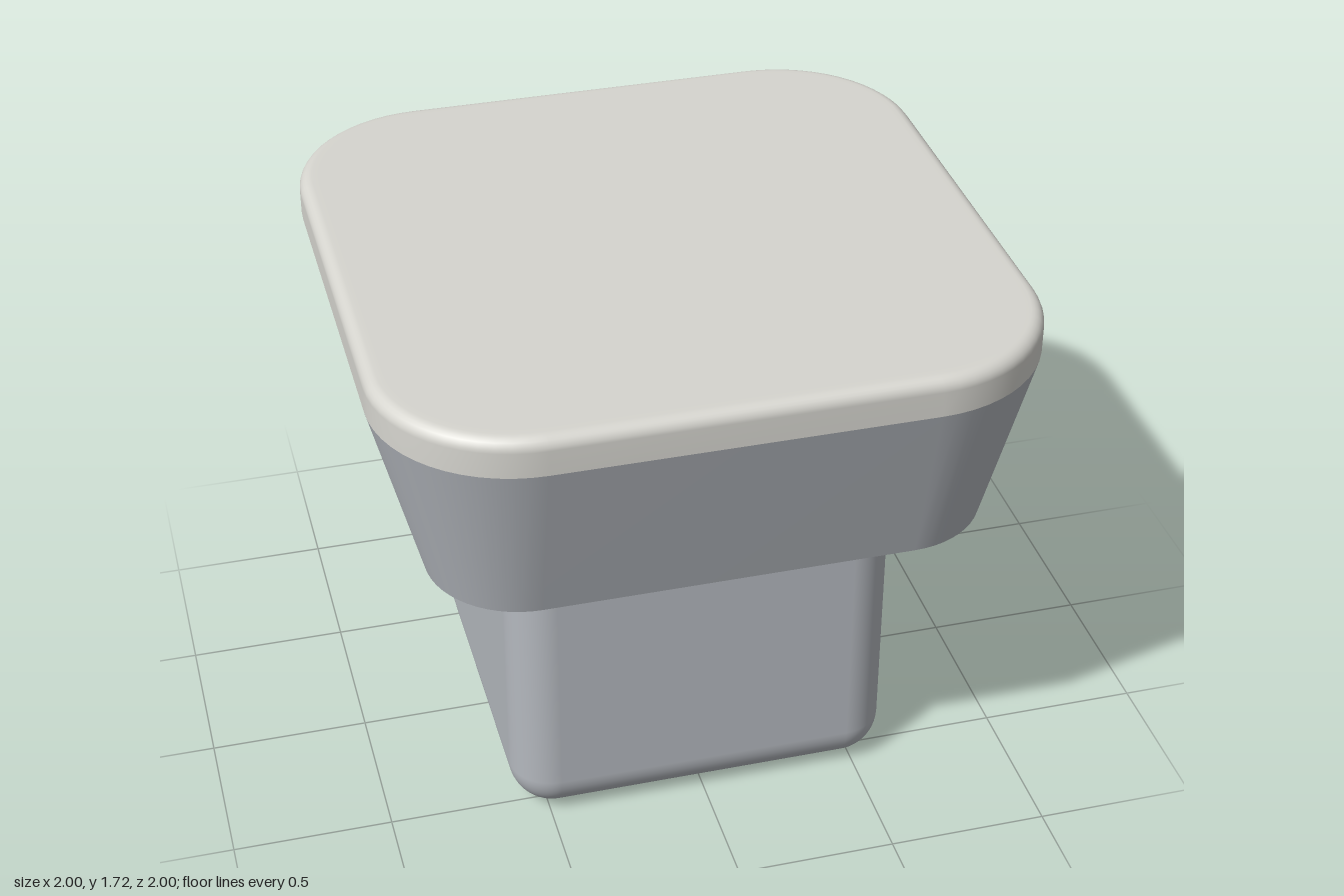
import * as THREE from 'three';
import { RoundedBoxGeometry } from 'three/addons/geometries/RoundedBoxGeometry.js';

const CORNER = 0.565; // distance of every corner-arc centre from the axes
const ARC_STEPS = 14;

// Closed rounded-square loop at height y; r is the corner radius.
function loop(r, y) {
  const points = [];
  for (let q = 0; q < 4; q++) {
    const mid = (q + 0.5) * Math.PI / 2;
    const cx = CORNER * Math.sign(Math.cos(mid));
    const cz = CORNER * Math.sign(Math.sin(mid));
    for (let i = 0; i <= ARC_STEPS; i++) {
      const a = (q + i / ARC_STEPS) * Math.PI / 2;
      points.push(cx + r * Math.cos(a), y, cz + r * Math.sin(a));
    }
  }
  return points;
}

// Skin through rounded-square loops [radius, y], bottom to top, optionally closed on top.
function loft(profile, closeTop) {
  const n = 4 * (ARC_STEPS + 1);
  const positions = profile.flatMap(([r, y]) => loop(r, y));
  const index = [];
  for (let k = 0; k < profile.length - 1; k++) {
    for (let i = 0; i < n; i++) {
      const j = (i + 1) % n;
      const a = k * n + i, b = k * n + j;
      index.push(a, a + n, b, b, a + n, b + n);
    }
  }
  if (closeTop) {
    const last = (profile.length - 1) * n, centre = profile.length * n;
    positions.push(0, profile.at(-1)[1], 0);
    for (let i = 0; i < n; i++) index.push(last + i, centre, last + (i + 1) % n);
  }
  const geometry = new THREE.BufferGeometry();
  geometry.setAttribute('position', new THREE.Float32BufferAttribute(positions, 3));
  geometry.setIndex(index);
  geometry.computeVertexNormals();
  return geometry;
}

export function createModel() {
  const group = new THREE.Group();
  const add = (name, geometry, color, side = THREE.FrontSide) => {
    const mesh = new THREE.Mesh(geometry, new THREE.MeshStandardMaterial({ color, side }));
    mesh.name = name;
    group.add(mesh);
    return mesh;
  };
  const R = 1 - CORNER;

  // Rounded cube that forms the stem
  add('base', new RoundedBoxGeometry(1.22, 1.22, 1.22, 8, 0.14), 0xb4b8be).position.y = 0.61;

  // Flared skirt, an open shell around the top of the base
  add('skirt', loft([[0.855 - CORNER, 1.03], [R, 1.6]], false), 0xb4b8be, THREE.DoubleSide);

  // Shallow lid with a rounded upper edge, open underneath
  const bevel = 0.04, top = 1.72;
  const lid = [[R, 1.6]];
  for (let i = 0; i <= 6; i++) {
    const a = i / 6 * Math.PI / 2;
    lid.push([R - bevel + bevel * Math.cos(a), top - bevel + bevel * Math.sin(a)]);
  }
  lid.push([R - bevel - 0.02, top]);
  add('lid', loft(lid, true), 0xd6d5cf, THREE.DoubleSide);

  return group;
}
